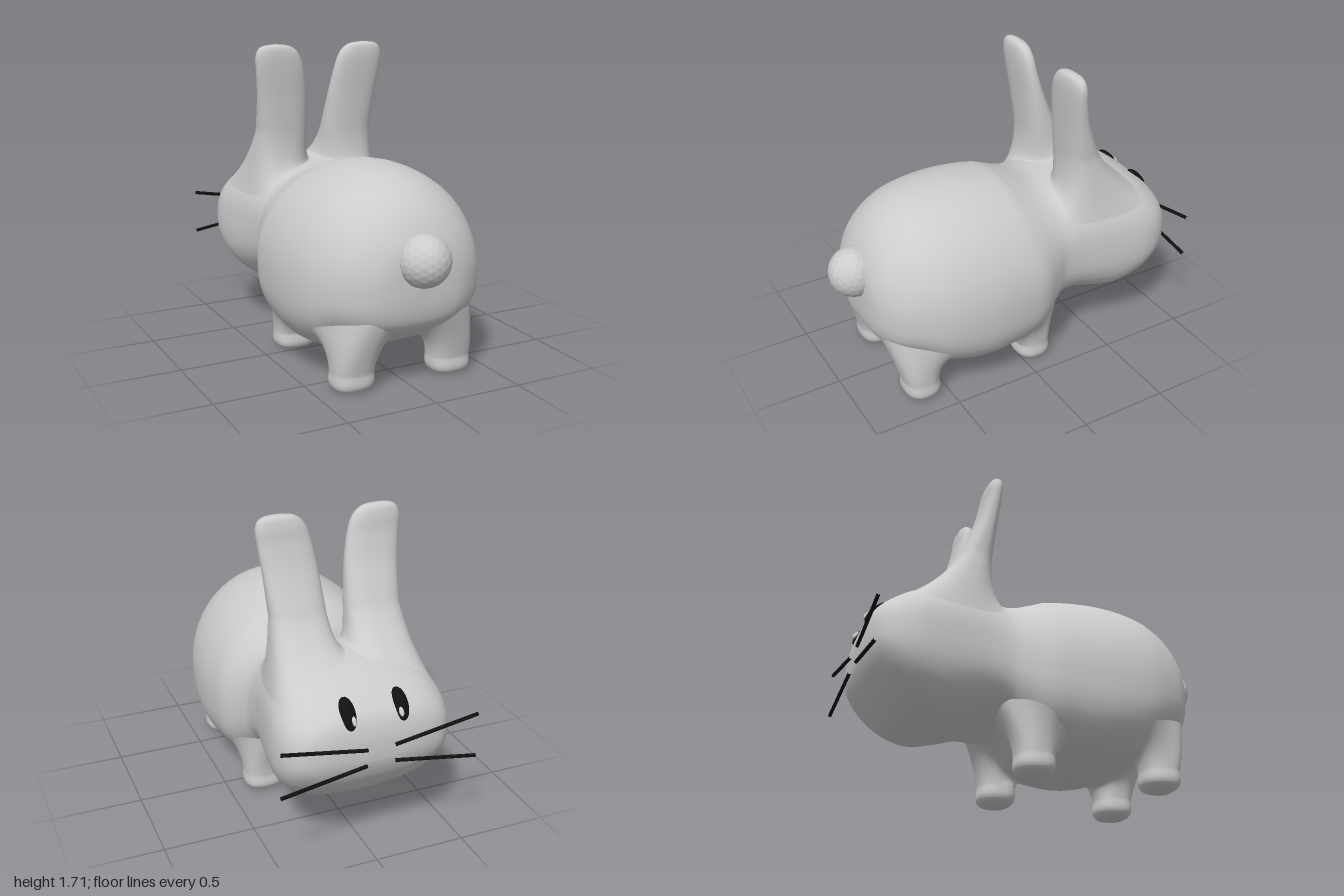
import * as THREE from 'three';
import { mergeVertices } from 'three/addons/utils/BufferGeometryUtils.js';

const grey = new THREE.MeshStandardMaterial({ color: 0xcccccc });
const black = new THREE.MeshStandardMaterial({ color: 0x111111 });
const SIDES = 48;

function add(parent, name, geometry, material = grey) {
  const mesh = new THREE.Mesh(geometry, material);
  mesh.name = name;
  parent.add(mesh);
  return mesh;
}

// Smoothly samples a list of keys (rows of five numbers).
function sample(keys, count) {
  const a = new THREE.CatmullRomCurve3(keys.map(k => new THREE.Vector3(k[0], k[1], k[2])), false, 'catmullrom');
  const b = new THREE.CatmullRomCurve3(keys.map(k => new THREE.Vector3(k[3], k[4], 0)), false, 'catmullrom');
  return Array.from({ length: count + 1 }, (_, i) => {
    const p = a.getPoint(i / count), q = b.getPoint(i / count);
    return [p.x, p.y, p.z, q.x, q.y];
  });
}

const power = (v, n) => Math.sign(v) * Math.pow(Math.abs(v), 2 / n);

// One closed ring of points from a function of the angle.
const ring = point => Array.from({ length: SIDES }, (_, j) => point((j / SIDES) * Math.PI * 2));

// Skins a list of rings.
function loft(rings) {
  const index = [];
  for (let i = 0; i < rings.length - 1; i++) {
    for (let j = 0; j < SIDES; j++) {
      const a = i * SIDES + j, b = i * SIDES + (j + 1) % SIDES;
      index.push(a, b, b + SIDES, a, b + SIDES, a + SIDES);
    }
  }
  let geometry = new THREE.BufferGeometry();
  geometry.setAttribute('position', new THREE.Float32BufferAttribute(rings.flat(2), 3));
  geometry.setIndex(index);
  geometry = mergeVertices(geometry, 1e-5);
  geometry.computeVertexNormals();
  return geometry;
}

// Head and trunk: z, top, bottom, half width, height of the widest point
const BODY = sample([
  [-0.98, 0.66, 0.64, 0, 0.65],
  [-0.975, 0.73, 0.58, 0.2, 0.65],
  [-0.955, 0.805, 0.52, 0.33, 0.64],
  [-0.92, 0.857, 0.455, 0.405, 0.63],
  [-0.85, 0.914, 0.365, 0.455, 0.62],
  [-0.75, 0.975, 0.285, 0.477, 0.61],
  [-0.62, 1.02, 0.237, 0.467, 0.61],
  [-0.48, 1.03, 0.262, 0.445, 0.61],
  [-0.35, 1.01, 0.3, 0.428, 0.61],
  [-0.24, 1.004, 0.3, 0.43, 0.6],
  [-0.16, 1.02, 0.25, 0.465, 0.58],
  [-0.06, 1.06, 0.17, 0.518, 0.56],
  [0.05, 1.098, 0.13, 0.538, 0.55],
  [0.28, 1.12, 0.108, 0.547, 0.54],
  [0.5, 1.1, 0.16, 0.52, 0.55],
  [0.65, 1.045, 0.25, 0.46, 0.56],
  [0.76, 0.95, 0.3, 0.385, 0.57],
  [0.83, 0.84, 0.355, 0.285, 0.58],
  [0.86, 0.74, 0.44, 0.18, 0.58],
  [0.87, 0.59, 0.57, 0, 0.58],
], 114);

// Half height and roundness of a body row, above or below its widest point.
function bodyArc([z, top, bottom, , mid], up) {
  const head = THREE.MathUtils.smoothstep(-z, 0.05, 0.4);
  return up ? [top - mid, 2 + 0.7 * head] : [mid - bottom, 2.85 - 0.35 * head];
}

const bodyRing = row => ring(angle => {
  const c = Math.cos(angle), s = Math.sin(angle);
  const [height, n] = bodyArc(row, s > 0);
  return [row[3] * power(c, n), row[4] + height * power(s, n), row[0]];
});

// Moves a point radially on to the body; least = 1 only pushes out points that lie inside.
function toBody([x, y, z], least) {
  const i = Math.max(2, BODY.findIndex(row => row[0] >= z));
  const t = (z - BODY[i - 1][0]) / (BODY[i][0] - BODY[i - 1][0]);
  const row = BODY[i].map((v, k) => THREE.MathUtils.lerp(BODY[i - 1][k], v, t));
  const [height, n] = bodyArc(row, y > row[4]);
  const reach = Math.pow(Math.abs(x / row[3]) ** n + Math.abs((y - row[4]) / height) ** n, -1 / n);
  const scale = Math.max(least, reach * 0.996);
  return [x * scale, row[4] + (y - row[4]) * scale, z];
}

// Ears and legs: y, inner x, outer x, z limits. The first row is the edge of the
// fillet on the body, the second steers the fillet, the rest are the limb itself.
const EAR = [
  [0.84, 0.0, 0.45, -0.25, -0.86],
  [1.0, 0.045, 0.38, -0.325, -0.63],
  [1.2, 0.058, 0.36, -0.314, -0.51],
  [1.4, 0.075, 0.373, -0.298, -0.425],
  [1.55, 0.1, 0.39, -0.284, -0.382],
  [1.64, 0.13, 0.395, -0.28, -0.368],
  [1.69, 0.185, 0.365, -0.29, -0.352],
  [1.705, 0.28, 0.28, -0.32, -0.32],
];
const LEG = [
  [0.34, 0.07, 0.47, 0.45, 0.815],
  [0.22, 0.165, 0.412, 0.525, 0.765],
  [0.1, 0.175, 0.405, 0.535, 0.737],
  [0.045, 0.175, 0.408, 0.532, 0.738],
  [0.014, 0.192, 0.392, 0.55, 0.722],
  [0, 0.23, 0.35, 0.585, 0.685],
  [0, 0.29, 0.29, 0.635, 0.635],
];

// Limb on the side given by sign, shifted along z, flowing out of the body.
function limb(keys, sign, shift = 0) {
  const direction = Math.sign(keys[1][0] - keys[0][0]);
  const section = ([y, x0, x1, z0, z1]) => ring(angle => [
    sign * (x0 + x1) / 2 + (x1 - x0) / 2 * power(Math.cos(angle), 2.5),
    Math.max(0, y),
    shift + (z0 + z1) / 2 - direction * Math.abs(z1 - z0) / 2 * power(Math.sin(angle), 2.5),
  ]);
  const edge = section(keys[0]).map(p => toBody(p, 0));
  const steer = section(keys[1]).map(p => toBody(p, 1));
  const shaft = sample(keys.slice(2), 36).map(section);
  // Quadratic fillet from the body to the start of the shaft
  const fillet = Array.from({ length: 14 }, (_, i) => {
    const t = i / 14, u = 1 - t;
    return edge.map((p, j) => p.map((v, k) =>
      u * u * v + 2 * u * t * steer[j][k] + t * t * shaft[0][j][k]));
  });
  return loft([...fillet, ...shaft]);
}

// Thin straight rod between two points.
function rod(from, to, radius) {
  return new THREE.TubeGeometry(new THREE.LineCurve3(from, to), 1, radius, 8);
}

export function createModel() {
  const rabbit = new THREE.Group();
  rabbit.name = 'rabbit';

  add(rabbit, 'body', loft(BODY.map(bodyRing)));

  // Faceted tail
  const tailMaterial = grey.clone();
  tailMaterial.flatShading = true;
  add(rabbit, 'tail', new THREE.IcosahedronGeometry(0.14, 3), tailMaterial).position.set(0, 0.705, 0.86);

  for (const sign of [1, -1]) {
    const side = sign > 0 ? 'left' : 'right';
    add(rabbit, side + 'Ear', limb(EAR, sign));
    add(rabbit, side + 'BackLeg', limb(LEG, sign));
    add(rabbit, side + 'FrontLeg', limb(LEG, sign, -0.715));

    // Eye lying on the slope of the face, with a pale glint
    const eye = new THREE.Group();
    eye.name = side + 'Eye';
    eye.position.set(sign * 0.143, 0.845, -0.905);
    eye.rotation.x = 0.72;
    const ball = new THREE.SphereGeometry(1, 24, 16);
    add(eye, 'pupil', ball, black).scale.set(0.044, 0.088, 0.034);
    const glint = add(eye, 'glint', ball);
    glint.scale.set(0.012, 0.026, 0.014);
    glint.position.set(-sign * 0.014, -0.046, -0.025);
    rabbit.add(eye);

    // Two whiskers per side, fanning outwards
    [[0.665, 0.745], [0.575, 0.5]].forEach(([y0, y1], i) => {
      const from = new THREE.Vector3(sign * 0.075 - 0.01, y0, -0.985);
      const to = new THREE.Vector3(sign * 0.54 - 0.01, y1, -0.99);
      add(rabbit, side + (i ? 'LowerWhisker' : 'UpperWhisker'), rod(from, to, 0.01), black);
    });
  }
  return rabbit;
}
